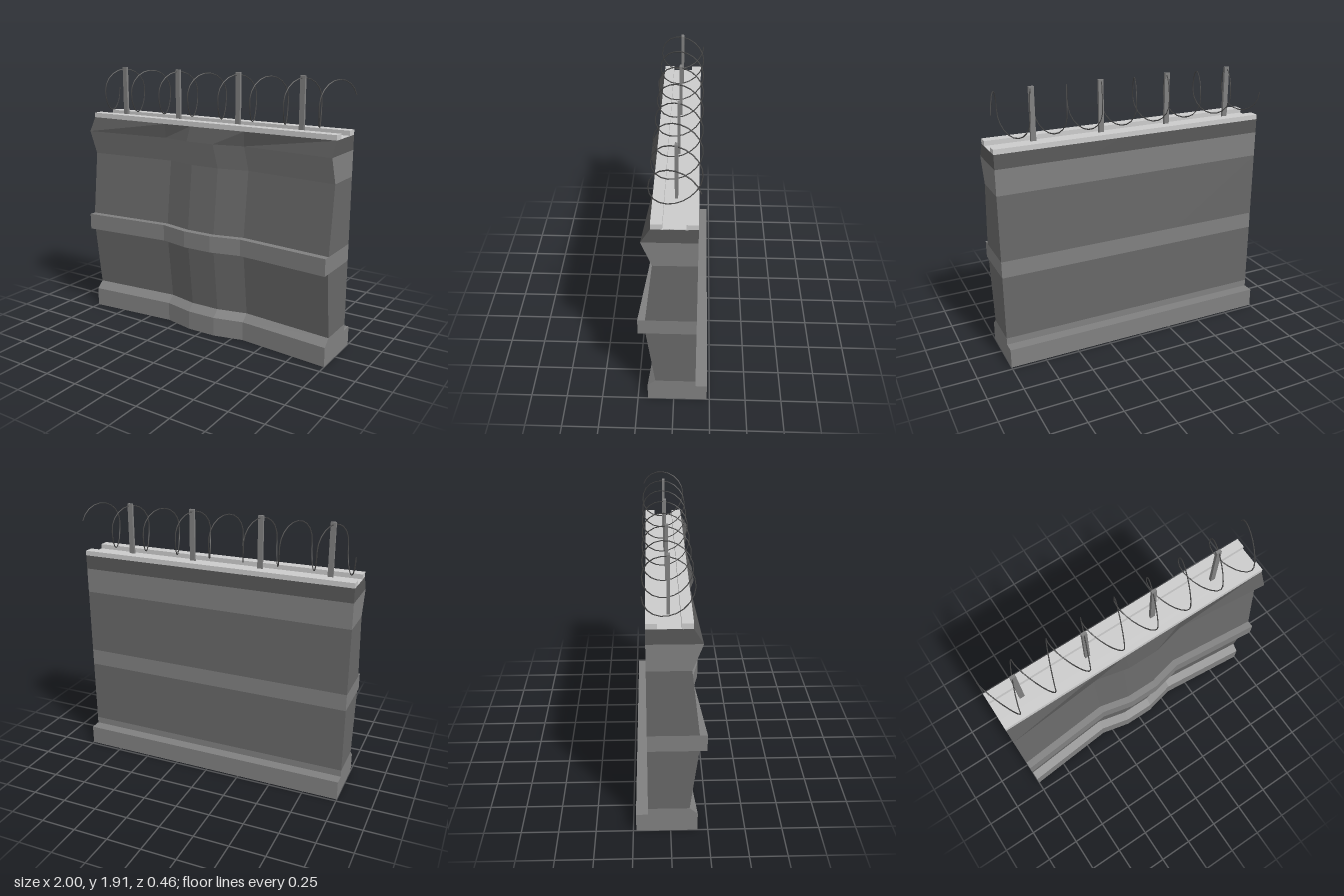
import * as THREE from 'three';

// Plan of the undulating front: x stations and the depth change at each
const STATIONS = [-1, -0.33, -0.11, 0.11, 0.33, 1];
const WAVE = [0, -0.06, -0.01, -0.01, -0.06, 0];

const mat = (color) => new THREE.MeshStandardMaterial({ color });
const stone = mat(0x808080);
const panel = mat(0x686868);
const crownDark = mat(0x585858);
const coping = mat(0xcccccc);
const steel = mat(0x808080);
const wireMat = mat(0x484848);

// One horizontal course: front depth goes from f0 (at y0) to f1 (at y1)
function course(name, material, y0, y1, f0, f1, back = -0.15, topWave = 1) {
  const g = new THREE.BoxGeometry(2, 1, 1, 5, 1, 1);
  const p = g.attributes.position;
  for (let i = 0; i < p.count; i++) {
    const s = Math.round((p.getX(i) + 1) * 2.5);
    const top = p.getY(i) > 0;
    const front = (top ? f1 : f0) + WAVE[s] * (top ? topWave : 1);
    p.setXYZ(i, STATIONS[s], top ? y1 : y0, p.getZ(i) > 0 ? front : back);
  }
  const flat = g.toNonIndexed();
  flat.computeVertexNormals();
  const mesh = new THREE.Mesh(flat, material);
  mesh.name = name;
  return mesh;
}

function box(name, material, w, h, d, x, y, z) {
  const mesh = new THREE.Mesh(new THREE.BoxGeometry(w, h, d), material);
  mesh.name = name;
  mesh.position.set(x, y, z);
  return mesh;
}

// Coil of tilted half loops, alternately below and above its axis
class Coil extends THREE.Curve {
  getPoint(t, target = new THREE.Vector3()) {
    const h = t * 15.9;
    const k = Math.floor(h);
    const a = h * Math.PI;
    const x = -0.996 + 0.125 * (k + (1 - Math.cos((h - k) * Math.PI)) / 2);
    return target.set(x, 1.738 - 0.157 * Math.sin(a), -0.012 - 0.157 * Math.cos(a));
  }
}

export function createModel() {
  const model = new THREE.Group();
  model.name = 'fortifiedWall';

  // Wall courses, bottom to top
  model.add(
    course('plinth', stone, 0, 0.14, 0.18, 0.18, -0.23),
    course('plinthBevel', stone, 0.14, 0.19, 0.18, 0.125),
    course('lowerPanel', panel, 0.19, 0.66, 0.125, 0.18),
    course('middleBand', stone, 0.66, 0.78, 0.23, 0.23),
    course('upperPanel', panel, 0.78, 1.25, 0.18, 0.125),
    course('cornice', stone, 1.25, 1.43, 0.125, 0.19),
    course('crown', crownDark, 1.43, 1.53, 0.19, 0.13, -0.15, 0),
  );

  // Walkway and the two coping strips
  model.add(
    box('walkway', coping, 2, 0.004, 0.16, 0, 1.53, -0.01),
    box('frontCoping', coping, 2, 0.035, 0.07, 0, 1.5475, 0.095),
    box('backCoping', coping, 2, 0.035, 0.07, 0, 1.5475, -0.115),
  );

  // Posts carrying the wire
  for (const x of [-0.803, -0.31, 0.198, 0.688]) {
    model.add(box('wirePost', steel, 0.036, 0.38, 0.02, x, 1.72, -0.012));
  }

  // Coiled wire
  const wire = new THREE.Mesh(new THREE.TubeGeometry(new Coil(), 160, 0.004, 4), wireMat);
  wire.name = 'coiledWire';
  model.add(wire);

  return model;
}
